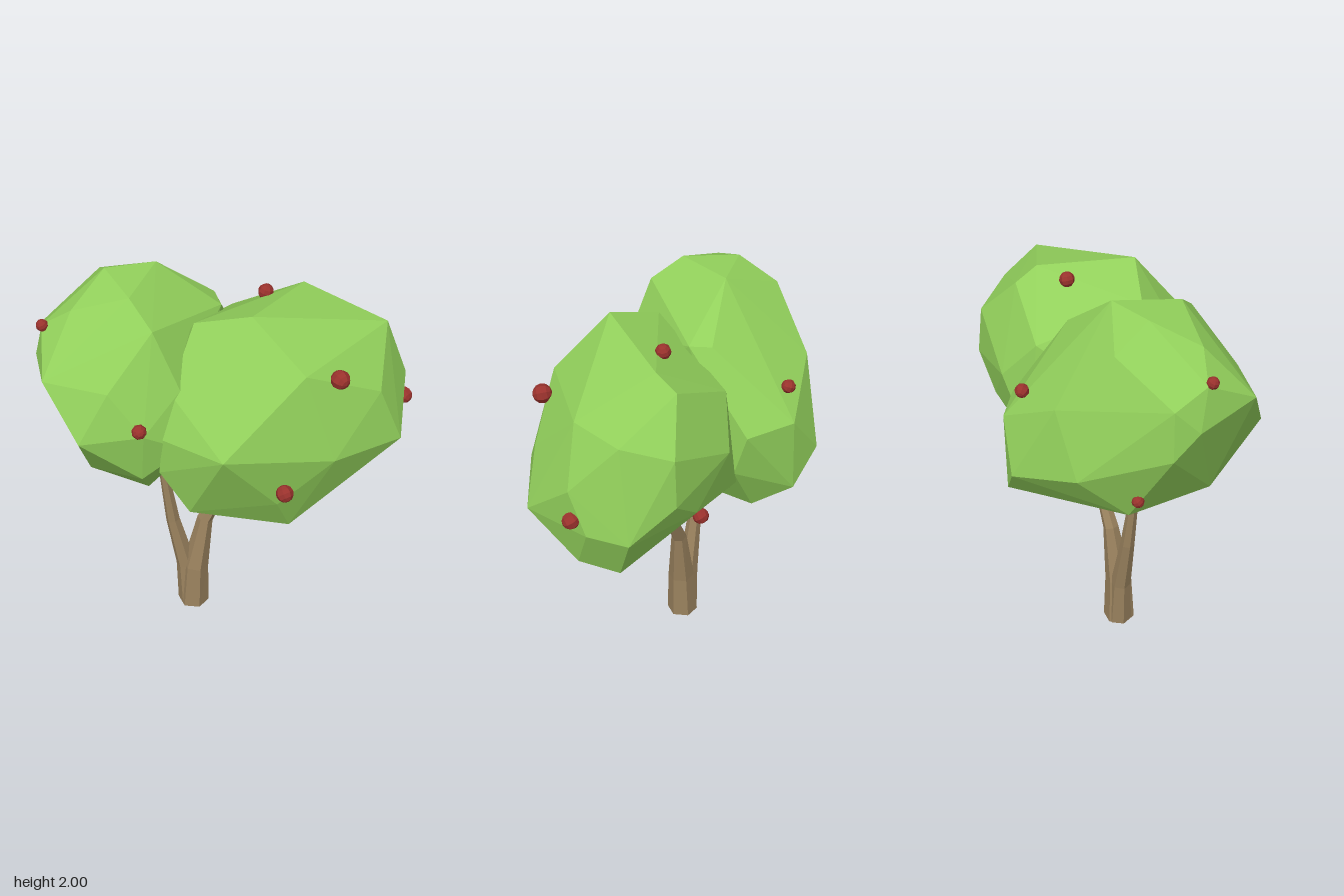
import * as THREE from 'three';
import { ConvexGeometry } from 'three/addons/geometries/ConvexGeometry.js';

function material(name, color) {
  const m = new THREE.MeshStandardMaterial({ color, flatShading: true });
  m.name = name;
  return m;
}

// Tapered six-sided limb through [x, y, z, radius] stations
function limbGeometry(stations, sides = 6) {
  const centres = stations.map(([x, y, z]) => new THREE.Vector3(x, y, z));
  const pos = [], index = [], last = stations.length - 1;
  centres.forEach((c, i) => {
    const t = centres[Math.min(i + 1, last)].clone().sub(centres[Math.max(i - 1, 0)]);
    if (i === 0) t.set(0, 1, 0);
    t.normalize();
    const u = new THREE.Vector3().crossVectors(t, new THREE.Vector3(0, 0, 1)).normalize();
    const v = new THREE.Vector3().crossVectors(u, t);
    for (let j = 0; j < sides; j++) {
      const a = ((j + 0.5) / sides) * Math.PI * 2, r = stations[i][3];
      const p = c.clone().addScaledVector(u, r * Math.cos(a)).addScaledVector(v, r * Math.sin(a));
      pos.push(p.x, p.y, p.z);
    }
  });
  const at = (i, j) => i * sides + (j % sides);
  for (let i = 0; i < last; i++)
    for (let j = 0; j < sides; j++)
      index.push(at(i, j), at(i + 1, j), at(i, j + 1), at(i, j + 1), at(i + 1, j), at(i + 1, j + 1));
  // End caps
  for (let j = 1; j < sides - 1; j++)
    index.push(at(0, 0), at(0, j), at(0, j + 1), at(last, 0), at(last, j + 1), at(last, j));
  const g = new THREE.BufferGeometry();
  g.setAttribute('position', new THREE.Float32BufferAttribute(pos, 3));
  g.setIndex(index);
  g.computeVertexNormals();
  return g;
}

export function createModel() {
  const tree = new THREE.Group();
  tree.name = 'tree';
  const bark = material('bark', 0x9a825e);
  const leaf = material('leaf', 0x92d05b);
  const red = material('fruit red', 0x9a322d);
  const add = (name, geometry, mat) => {
    const mesh = new THREE.Mesh(geometry, mat);
    mesh.name = name;
    tree.add(mesh);
    return mesh;
  };

  // Forked trunk and twigs
  const limbs = {
    rightStem: [[-0.13, 0, -0.01, 0.08], [-0.12, 0.25, -0.005, 0.068], [-0.065, 0.55, 0, 0.04], [0.03, 0.74, 0.03, 0.027]],
    leftStem: [[-0.145, 0, -0.025, 0.062], [-0.16, 0.25, -0.035, 0.052], [-0.22, 0.55, -0.06, 0.036], [-0.262, 0.87, -0.065, 0.023]],
    longTwig: [[0.025, 0.725, 0.03, 0.025], [0.17, 0.79, 0.06, 0.018], [0.4, 0.89, 0.1, 0.01]],
    shortTwig: [[0.03, 0.73, 0.03, 0.022], [-0.03, 0.82, 0.06, 0.016], [-0.07, 0.92, 0.09, 0.01]],
    outerTwig: [[-0.262, 0.85, -0.065, 0.02], [-0.36, 0.99, -0.05, 0.01]],
    innerTwig: [[-0.262, 0.85, -0.065, 0.02], [-0.215, 0.9, -0.1, 0.014], [-0.19, 0.98, -0.15, 0.01]],
  };
  for (const [name, stations] of Object.entries(limbs)) add(name, limbGeometry(stations), bark);

  // Faceted leaf crowns, each a hull around a few corner points
  const crown = (name, points) => add(name, new ConvexGeometry(points.map((p) => new THREE.Vector3(...p))), leaf);

  crown('frontCrown', [
    [0.04, 1.93, 0.31], [0.43, 1.87, 0.04], [-0.16, 1.83, 0.11], [0.71, 1.77, 0.36],
    [0.48, 1.8, -0.06], [0.19, 1.64, -0.25], [0.2, 1.71, 0.55],
    [0.75, 1.67, 0.16], [0.7, 1.59, -0.08], [0.58, 1.54, 0.57], [0.82, 1.47, 0.38],
    [0.38, 1.43, -0.29], [0.72, 1.35, -0.09], [-0.24, 1.41, 0.63], [-0.34, 1.58, 0.25],
    [-0.41, 1.38, 0.32], [-0.25, 1.4, -0.1], [0.31, 1.28, 0.66], [0.69, 1.26, 0.6],
    [0.85, 1.25, 0.3], [0.84, 1.2, 0.11], [-0.42, 1.18, 0.3], [0.2, 1.13, -0.31],
    [0.55, 1.2, -0.16], [-0.2, 1.1, -0.15], [0.05, 1.06, 0.6], [0.76, 1.03, 0.36],
    [0.74, 0.96, 0.17], [0, 0.98, -0.24], [-0.31, 0.98, 0.4], [-0.07, 0.87, -0.08],
    [0.15, 0.85, 0.53], [0.46, 0.84, 0.17],
  ]);
  crown('backCrown', [
    [-0.44, 1.985, 0.03], [-0.22, 2, -0.2], [-0.46, 2, -0.24], [-0.67, 1.89, -0.12],
    [-0.42, 1.89, -0.43], [-0.39, 1.88, 0.18], [-0.78, 1.78, -0.23], [0.06, 1.79, -0.17],
    [0.05, 1.78, -0.06], [-0.87, 1.64, 0.02], [-0.8, 1.58, -0.3], [-0.72, 1.7, -0.39],
    [-0.22, 1.62, -0.6], [0.12, 1.44, -0.57], [-0.3, 1.6, 0.28], [-0.63, 1.63, 0.22],
    [-0.5, 1.42, 0.32], [-0.78, 1.39, 0.22], [-0.73, 1.45, -0.4], [0.25, 1.42, -0.36],
    [-0.36, 1.3, -0.62], [-0.3, 1.3, 0.33], [-0.02, 1.22, -0.68], [0.23, 1.2, -0.3],
    [-0.5, 1.15, 0.28], [-0.66, 1.07, 0], [-0.5, 1.07, -0.42], [0.1, 1.05, -0.58],
    [-0.41, 0.96, 0.12], [-0.42, 0.93, -0.1], [0.09, 0.92, -0.38], [-0.18, 0.92, -0.14],
    [0.01, 0.93, -0.18],
  ]);

  // Small round fruits: x, y, z, radius
  const fruits = [
    [-0.785, 1.79, -0.205, 0.03], [-0.52, 1.46, 0.32, 0.036], [0.36, 1.67, 0.575, 0.046],
    [0.83, 1.32, 0.37, 0.041], [0.065, 1.155, 0.645, 0.042], [0.235, 1.86, 0.035, 0.038],
    [0.035, 1.59, -0.53, 0.034], [0.42, 1.08, -0.165, 0.039], [-0.56, 1.18, -0.43, 0.03],
  ];
  fruits.forEach(([x, y, z, r], i) => {
    const fruit = add('fruit' + (i + 1), new THREE.SphereGeometry(r, 8, 6), red);
    fruit.position.set(x, y, z);
    fruit.rotation.set(i * 0.7, i * 1.1, 0.4);
  });
  return tree;
}
